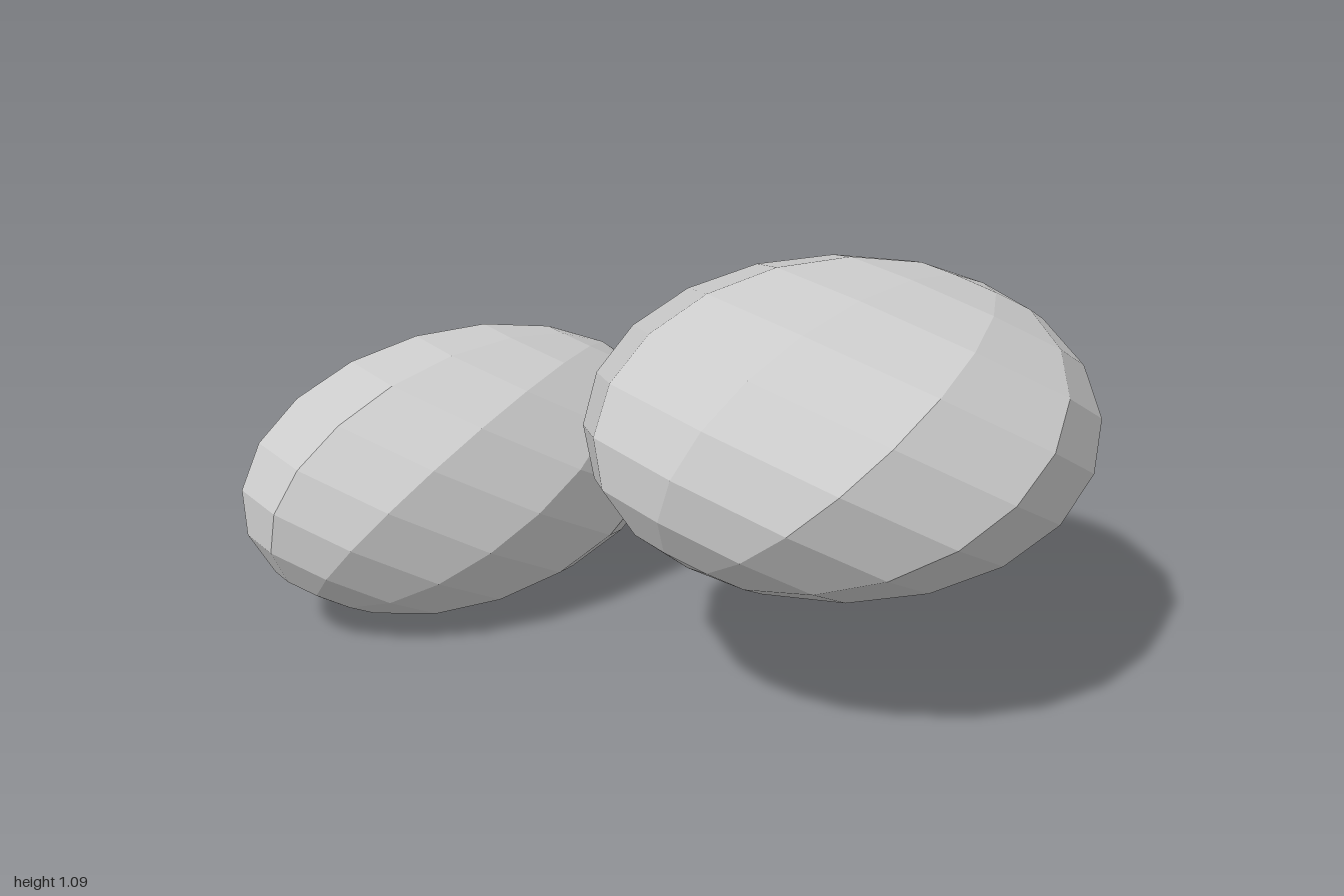
import * as THREE from 'three';

const material = new THREE.MeshStandardMaterial({ color: 0xcccccc, flatShading: true });

// Faceted ball with its poles tipped 45 degrees backwards, then squashed to the given radii
function makePebble(name, radii, position) {
  const geometry = new THREE.SphereGeometry(1, 10, 10);
  geometry.rotateX(-Math.PI / 4);
  geometry.scale(...radii);
  const mesh = new THREE.Mesh(geometry, material);
  mesh.name = name;
  mesh.position.set(...position);
  return mesh;
}

export function createModel() {
  const group = new THREE.Group();
  group.name = 'pebblePair';

  // Wide, raised pebble towards the back
  group.add(makePebble('leftWidePebble', [0.62, 0.382, 0.638], [0.38, 0.717, -0.243]));

  // Narrow, low pebble towards the front
  group.add(makePebble('rightNarrowPebble', [0.382, 0.382, 0.638], [-0.618, 0.37, 0.24]));

  return group;
}
